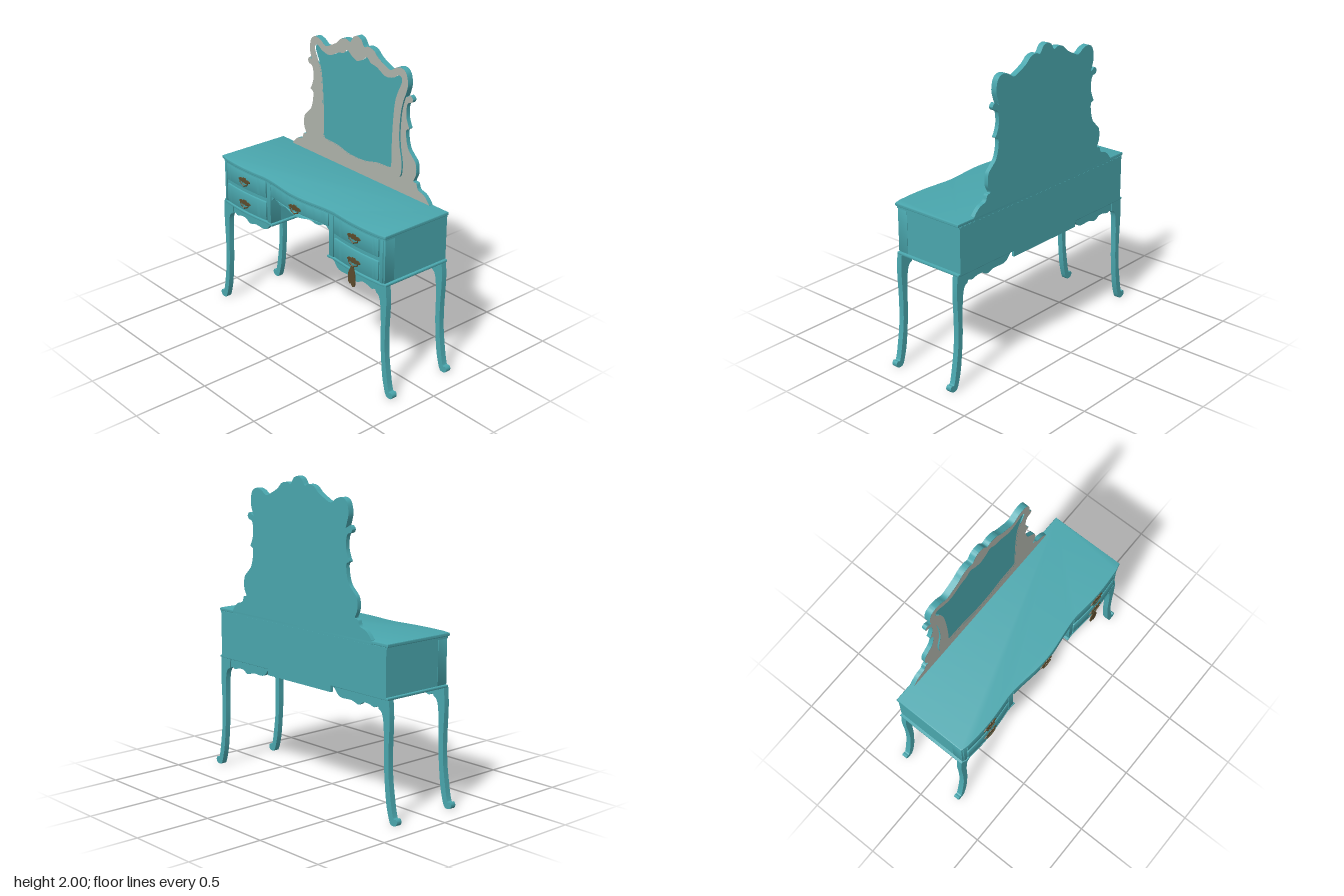
import * as THREE from 'three';
import { toCreasedNormals } from 'three/addons/utils/BufferGeometryUtils.js';

const paint = new THREE.MeshStandardMaterial({ color: 0x4aa7ae });
paint.name = 'teal paint';
const trim = new THREE.MeshStandardMaterial({ color: 0xafb3ab });
trim.name = 'grey trim';
const brass = new THREE.MeshStandardMaterial({ color: 0x5c4c2c });
brass.name = 'dark brass';

const vec = (pts) => pts.map(([x, y]) => new THREE.Vector2(x, y));
const smooth = (pts, n) => new THREE.SplineCurve(vec(pts)).getPoints(n);
// Full outline from a right-hand half, mirrored in x
const mirrored = (half) => [...half, ...half.map((p) => new THREE.Vector2(-p.x, p.y)).reverse()];

// Serpentine front edge of the table top
function frontZ(x) {
  const a = Math.abs(x);
  if (a < 0.34) return 0.245 + 0.03 * Math.cos((Math.PI / 2) * (a / 0.34)) ** 2;
  return 0.245 + 0.015 * Math.sin((Math.PI * (a - 0.34)) / 0.45) - (a > 0.77 ? 0.008 : 0);
}

export function createModel() {
  const group = new THREE.Group();

  function add(name, geo, mat = paint) {
    const mesh = new THREE.Mesh(geo, mat);
    mesh.name = name;
    group.add(mesh);
    return mesh;
  }

  // Upright board: outline in x, y with thickness from z0 to z1
  function board(outline, z0, z1, hole) {
    const shape = new THREE.Shape(outline);
    if (hole) shape.holes.push(new THREE.Path(hole));
    const geo = new THREE.ExtrudeGeometry(shape, { depth: z1 - z0, bevelEnabled: false });
    return toCreasedNormals(geo.translate(0, 0, z0), 0.6);
  }

  // Horizontal slab with the serpentine front, set back by inset
  function slab(x0, x1, y0, y1, inset, bevel = 0, back = -0.28) {
    const pts = [new THREE.Vector2(x1, -back), new THREE.Vector2(x0, -back)];
    const n = 32;
    for (let i = 0; i <= n; i++) {
      const x = x0 + ((x1 - x0) * i) / n;
      pts.push(new THREE.Vector2(x, inset - frontZ(x)));
    }
    const geo = new THREE.ExtrudeGeometry(new THREE.Shape(pts), {
      depth: y1 - y0 - 2 * bevel, bevelEnabled: bevel > 0, bevelSize: bevel,
      bevelThickness: bevel, bevelOffset: -bevel, bevelSegments: 2,
    });
    geo.rotateX(-Math.PI / 2).translate(0, y0 + bevel, 0);
    return toCreasedNormals(geo, 0.6);
  }

  // Table top and its under moulding
  add('tableTop', slab(-0.793, 0.793, 1.063, 1.086, 0, 0.007));
  add('topMoulding', slab(-0.785, 0.785, 1.05, 1.064, 0.01));

  // Drawer handle: shaped plate with a hanging bail
  const plateOutline = mirrored(smooth([[0, 0.02], [0.012, 0.024], [0.02, 0.013], [0.035, 0.016],
    [0.057, 0.006], [0.05, -0.004], [0.03, -0.006], [0.018, -0.014], [0, -0.01]], 32));
  const plateGeo = board(plateOutline, 0, 0.006);
  const bailCurve = new THREE.CatmullRomCurve3([[-0.04, 0], [-0.035, -0.018], [-0.015, -0.026],
    [0, -0.035], [0.015, -0.026], [0.035, -0.018], [0.04, 0]].map(([x, y]) => new THREE.Vector3(x, y, 0.008)));
  const bailGeo = new THREE.TubeGeometry(bailCurve, 28, 0.004, 6);
  function handle(x, y) {
    for (const [name, geo] of [['handlePlate', plateGeo], ['handleBail', bailGeo]]) {
      add(name, geo, brass).position.set(x, y, frontZ(x) - 0.01);
    }
  }

  // Leg and apron profiles for the +x side
  const legOutline = [...vec([[0.70, 0.76], [0.795, 0.76]]),
    ...smooth([[0.797, 0.74], [0.803, 0.63], [0.796, 0.44], [0.8, 0.28], [0.822, 0.125], [0.836, 0.058],
      [0.845, 0.042], [0.862, 0.045], [0.872, 0.025], [0.86, 0.004], [0.83, 0], [0.813, 0.012], [0.797, 0.055],
      [0.777, 0.15], [0.76, 0.34], [0.758, 0.5], [0.75, 0.62], [0.735, 0.67], [0.71, 0.686]], 80)];
  const apronOutline = [...vec([[0.272, 0.76]]),
    ...smooth([[0.3, 0.745], [0.32, 0.735], [0.35, 0.702], [0.39, 0.69], [0.468, 0.692], [0.53, 0.676],
      [0.574, 0.698], [0.622, 0.697], [0.664, 0.686], [0.69, 0.695], [0.72, 0.684]], 50),
    ...vec([[0.74, 0.69], [0.74, 0.76]])];

  for (const side of [1, -1]) {
    const lo = (a, b) => Math.min(side * a, side * b);
    const hi = (a, b) => Math.max(side * a, side * b);
    const flip = (pts) => pts.map((p) => new THREE.Vector2(side * p.x, p.y));

    // Drawer pedestal with corner posts and base moulding
    add('pedestal', slab(lo(0.29, 0.78), hi(0.29, 0.78), 0.757, 1.055, 0.02));
    add('baseMoulding', slab(lo(0.274, 0.797), hi(0.274, 0.797), 0.75, 0.766, 0.01, 0.004));
    for (const [a, b] of [[0.75, 0.782], [0.288, 0.325]]) {
      add('cornerPost', slab(lo(a, b), hi(a, b), 0.766, 1.052, 0.013, 0.004, 0.15));
    }

    // Two drawers with handles
    for (const [y0, y1, hy] of [[0.93, 1.052, 0.988], [0.772, 0.904, 0.83]]) {
      add('sideDrawer', slab(lo(0.334, 0.738), hi(0.334, 0.738), y0, y1, 0.01, 0.008, 0.15));
      handle(side * 0.537, hy);
    }

    // Front and back legs and scalloped aprons
    for (const [name, z0] of [['front', 0.19], ['back', -0.272]]) {
      add(name + 'Leg', board(flip(legOutline), z0, z0 + 0.038));
      add(name + 'Apron', board(flip(apronOutline), z0 + 0.008, z0 + 0.03));
    }
  }

  // Centre drawer, its rail and scalloped lower edge
  add('centreRail', slab(-0.295, 0.295, 0.96, 1.055, 0.02));
  add('centreDrawer', slab(-0.283, 0.283, 0.962, 1.052, 0.01, 0.008, 0.15));
  handle(0, 0.99);
  const scallop = mirrored([...vec([[0, 0.965], [0.1, 0.965], [0.2, 0.965], [0.29, 0.965]]),
    ...smooth([[0.285, 0.932], [0.27, 0.942], [0.245, 0.957], [0.18, 0.937], [0.125, 0.95], [0.06, 0.938],
      [0, 0.928]], 30)]);
  const scallopGeo = board(scallop, -0.04, -0.02);
  const pos = scallopGeo.attributes.position;
  for (let i = 0; i < pos.count; i++) pos.setZ(i, pos.getZ(i) + frontZ(pos.getX(i)));
  add('centreApron', toCreasedNormals(scallopGeo, 0.6));

  // Back board, lower across the knee space
  add('backBoard', board(vec([[-0.78, 1.06], [-0.78, 0.755], [-0.3, 0.755], [-0.3, 0.712],
    [0.3, 0.712], [0.3, 0.755], [0.78, 0.755], [0.78, 1.06]]), -0.281, -0.262));

  // Scrolled mirror support
  const support = mirrored([...vec([[0.655, 1.05], [0.655, 1.088]]),
    ...smooth([[0.65, 1.094], [0.63, 1.117], [0.6, 1.14], [0.555, 1.155], [0.538, 1.192], [0.512, 1.2],
      [0.533, 1.25], [0.528, 1.32], [0.49, 1.362], [0.46, 1.395], [0.442, 1.45], [0.438, 1.51],
      [0.463, 1.528], [0.452, 1.552], [0.436, 1.6], [0.437, 1.66], [0.45, 1.69], [0.478, 1.7],
      [0.488, 1.722], [0.468, 1.742], [0.443, 1.728], [0.41, 1.72]], 110)]);
  add('mirrorSupport', board(support, -0.28, -0.252));
  add('supportFace', new THREE.ShapeGeometry(new THREE.Shape(support)).translate(0, 0, -0.251), trim);

  // Mirror frame with painted front
  const frame = mirrored(smooth([[0, 2], [0.035, 1.987], [0.065, 1.947], [0.1, 1.957], [0.15, 1.947],
    [0.19, 1.912], [0.24, 1.885], [0.3, 1.862], [0.35, 1.89], [0.4, 1.9], [0.44, 1.875], [0.455, 1.81],
    [0.44, 1.75], [0.42, 1.7], [0.4, 1.62], [0.39, 1.5], [0.395, 1.4], [0.415, 1.3], [0.41, 1.21],
    [0.37, 1.18], [0.28, 1.175], [0.15, 1.15], [0, 1.137]], 110));
  const glass = mirrored(smooth([[0, 1.838], [0.05, 1.86], [0.09, 1.887], [0.125, 1.86], [0.18, 1.847],
    [0.26, 1.81], [0.33, 1.822], [0.38, 1.85], [0.405, 1.82], [0.37, 1.74], [0.345, 1.66], [0.33, 1.5],
    [0.325, 1.35], [0.322, 1.24], [0.28, 1.225], [0.19, 1.22], [0.09, 1.197], [0, 1.19]], 90));
  add('mirrorFrame', board(frame, -0.28, -0.24, glass));
  const faceShape = new THREE.Shape(frame);
  faceShape.holes.push(new THREE.Path(glass));
  add('frameFace', new THREE.ShapeGeometry(faceShape).translate(0, 0, -0.239), trim);
  add('mirrorGlass', board(glass, -0.28, -0.247));

  // Tassel hanging from the lower drawer handle
  for (const [bx, by, w] of [[0.512, 0.672, 0.017], [0.538, 0.657, 0.016]]) {
    const strand = smooth([[0.525, 0.8], [bx - w, by + 0.07], [bx - w, by + 0.015], [bx, by],
      [bx + w, by + 0.02], [bx + w, by + 0.08], [0.535, 0.8]], 36);
    add('tassel', board(strand, 0.252, 0.259), brass);
  }
  return group;
}
